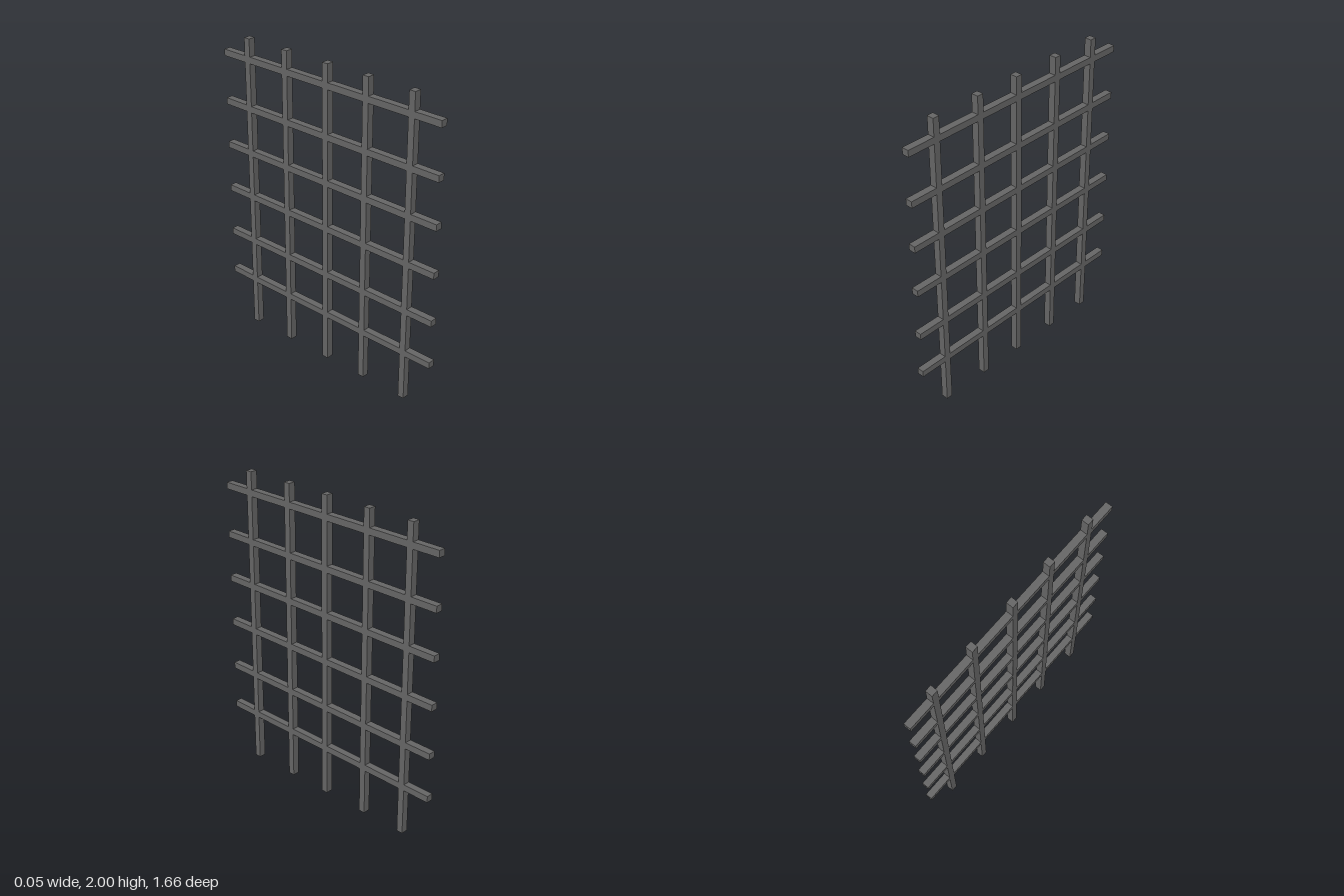
import * as THREE from 'three';

const BAR = 0.042; // square bar thickness
const DEPTH = 0.046;
const HEIGHT = 2;
const SPAN = 1.66;

export function createModel() {
  const group = new THREE.Group();
  group.name = 'barGrille';
  const material = new THREE.MeshStandardMaterial({ color: 0x666666, flatShading: true });

  // Upright bars, slightly unevenly spaced along z
  const uprightGeometry = new THREE.BoxGeometry(DEPTH, HEIGHT, BAR);
  [0.628, 0.304, 0.002, -0.32, -0.63].forEach((z, i) => {
    const bar = new THREE.Mesh(uprightGeometry, material);
    bar.name = `uprightBar${i + 1}`;
    bar.position.set(0, HEIGHT / 2, z);
    group.add(bar);
  });

  // Cross bars running the full width
  const crossGeometry = new THREE.BoxGeometry(DEPTH, BAR, SPAN);
  [0.33, 0.622, 0.942, 1.25, 1.548, 1.866].forEach((y, i) => {
    const bar = new THREE.Mesh(crossGeometry, material);
    bar.name = `crossBar${i + 1}`;
    bar.position.y = y;
    group.add(bar);
  });

  return group;
}
